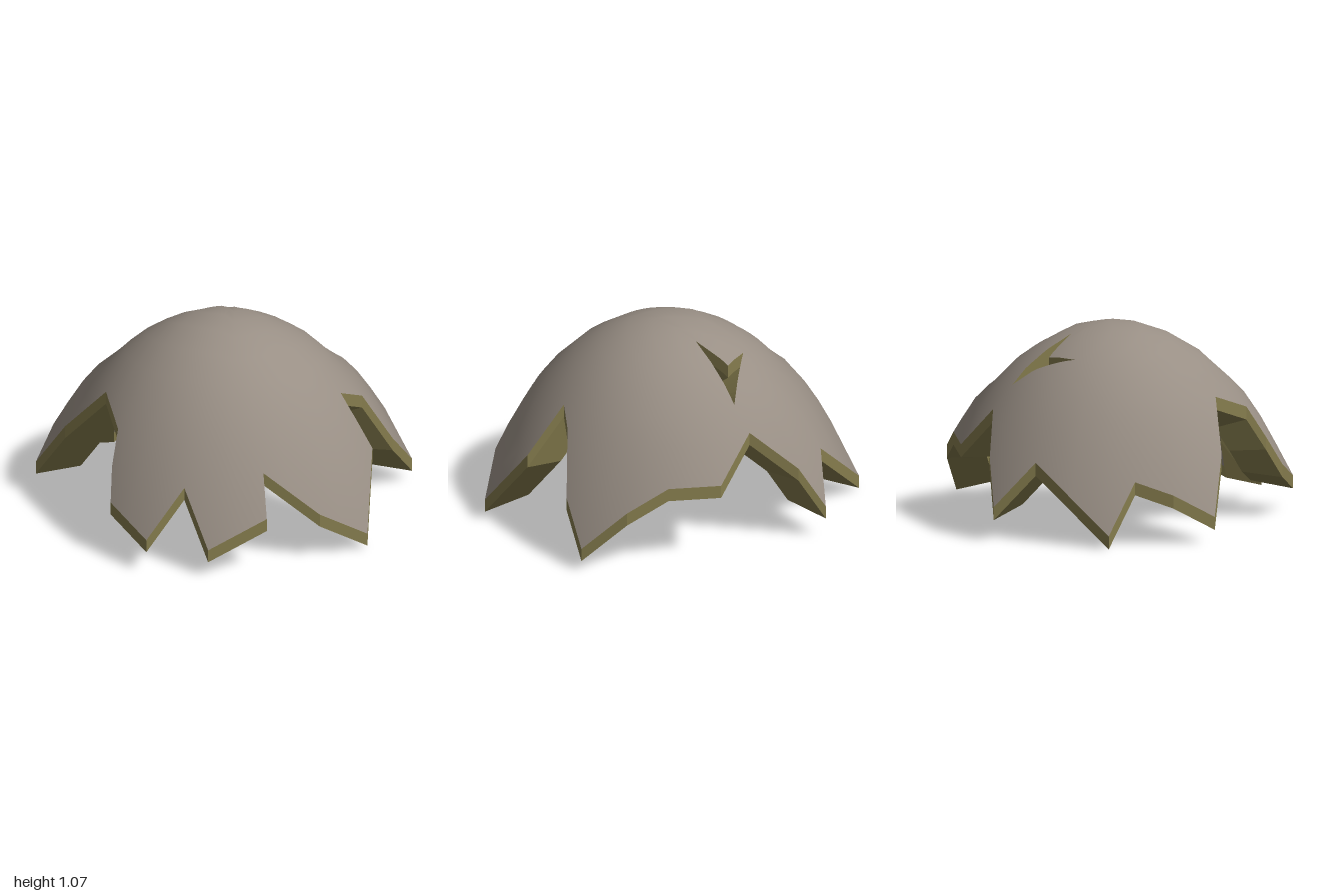
import * as THREE from 'three';

// Broken rim, walked anticlockwise from the front: x, y, z
const RIM = [
  [-0.06, 0.15, 0.97], [0.25, 0.285, 0.86], [0.23, 0.505, 0.755], [0.53, 0.26, 0.745],
  [0.78, 0.085, 0.605], [0.8, 0.44, 0.29], [0.63, 0.71, 0.18], [0.74, 0.64, 0.06],
  [0.9, 0.33, -0.07], [1.0, 0.12, -0.26], [0.85, 0.33, -0.45], [0.65, 0.44, -0.57],
  [0.4, 0.42, -0.725], [0.15, 0.64, -0.71], [-0.04, 0.42, -0.89], [-0.17, 0.18, -0.97],
  [-0.32, 0.42, -0.805], [-0.78, 0.07, -0.68], [-0.77, 0.34, -0.49], [-0.91, 0.27, -0.34],
  [-1.0, 0.145, -0.13], [-0.84, 0.44, 0.05], [-0.62, 0.71, 0.19], [-0.55, 0.62, 0.46],
  [-0.58, 0.45, 0.57], [-0.585, 0.29, 0.68], [-0.39, 0.18, 0.915], [-0.19, 0.44, 0.81],
];
// Small chip through the roof: x, z, anticlockwise seen from above
const CHIP = [[0.055, -0.25], [0.135, -0.59], [-0.16, -0.4], [0.01, -0.44]];
const CHIP_MID = [0.04, -0.46];
// Dome profile: radius, height
const PROFILE = [[0, 1.075], [0.22, 1.03], [0.4, 0.935], [0.52, 0.85], [0.65, 0.715],
  [0.742, 0.62], [0.85, 0.44], [0.9, 0.34], [1.04, 0.07]];
const RING = 0.63, SKIRT = 0.07, INNER = 0.76, CHIP_INNER = 0.64, BASE = 0.12, INNER_BAND = 0.055;

function domeHeight(r) {
  let i = 1;
  while (i < PROFILE.length - 1 && PROFILE[i][0] < r) i++;
  const [r0, y0] = PROFILE[i - 1], [r1, y1] = PROFILE[i];
  return y0 + (y1 - y0) * (r - r0) / (r1 - r0);
}

const lerp = (a, b, t) => a + (b - a) * t;

// Point of the chip outline in the direction (dx, dz) from its middle
function chipPoint(dx, dz) {
  for (let i = 0; i < CHIP.length; i++) {
    const a = CHIP[i], b = CHIP[(i + 1) % CHIP.length];
    const ax = a[0] - CHIP_MID[0], az = a[1] - CHIP_MID[1];
    const ex = b[0] - a[0], ez = b[1] - a[1];
    const det = dx * ez - dz * ex;
    if (Math.abs(det) < 1e-9) continue;
    const t = (ax * ez - az * ex) / det, u = (ax * dz - az * dx) / det;
    if (t > 0 && u >= 0 && u <= 1) return [CHIP_MID[0] + dx * t, CHIP_MID[1] + dz * t];
  }
  return [...CHIP_MID];
}

// Closed loft through rows of points, wound outward or (flip) inward
function loft(rows, flip) {
  const n = rows[0].length, index = [];
  for (let r = 0; r < rows.length - 1; r++) {
    for (let i = 0; i < n; i++) {
      const j = (i + 1) % n;
      const a = r * n + i, b = (r + 1) * n + i, c = (r + 1) * n + j, d = r * n + j;
      index.push(...(flip ? [a, c, b, a, d, c] : [a, b, c, a, c, d]));
    }
  }
  const geo = new THREE.BufferGeometry();
  geo.setAttribute('position', new THREE.Float32BufferAttribute(rows.flat(2), 3));
  geo.setIndex(index);
  return geo;
}

// Smooth dome: normals follow a rounded profile whose slope grows with the radius
function smoothShell(rows, flip, scale) {
  const geo = loft(rows, flip), side = flip ? -1 : 1;
  const normals = rows.flat().flatMap(([x, , z]) => {
    const px = x / scale, pz = z / scale;
    const k = 1.6 + 0.9 * (px * px + pz * pz);
    return new THREE.Vector3(px * k, 1, pz * k).normalize().multiplyScalar(side).toArray();
  });
  geo.setAttribute('normal', new THREE.Float32BufferAttribute(normals, 3));
  return geo;
}

// Flat-faced broken edge
function facetedEdge(rows) {
  const geo = loft(rows, false).toNonIndexed();
  geo.computeVertexNormals();
  return geo;
}

export function createModel() {
  const shellGrey = new THREE.MeshStandardMaterial({ color: 0x998f85, side: THREE.DoubleSide });
  const brokenEdge = new THREE.MeshStandardMaterial({ color: 0x867d4e, side: THREE.DoubleSide });

  // Rim with a midpoint on every edge
  const outline = RIM.flatMap((p, i) => {
    const q = RIM[(i + 1) % RIM.length];
    return [p, p.map((v, k) => lerp(v, q[k], 0.5))];
  });

  // Ring around the dome, and the chip outline matched to it
  const ring = outline.map(([x, , z]) => {
    const s = RING / Math.hypot(x, z);
    return [x * s, z * s];
  });
  const chip = ring.map(([x, z]) => chipPoint(x - CHIP_MID[0], z - CHIP_MID[1]));
  for (const corner of CHIP) {
    // Keep the chip corners sharp
    const angle = ([x, z]) => Math.atan2(x - CHIP_MID[0], z - CHIP_MID[1]);
    let best = 0, bestGap = 9;
    ring.forEach((p, i) => {
      const gap = Math.abs(Math.sin((angle(p) - angle(corner)) / 2));
      if (gap < bestGap) { bestGap = gap; best = i; }
    });
    chip[best] = [...corner];
  }

  // Outer shell rows: chip to ring, then ring to broken rim
  const rows = [];
  for (let k = 0; k <= 6; k++) {
    rows.push(ring.map((p, i) => {
      const x = lerp(chip[i][0], p[0], k / 6), z = lerp(chip[i][1], p[1], k / 6);
      return [x, domeHeight(Math.hypot(x, z)), z];
    }));
  }
  for (let k = 1; k <= 4; k++) {
    const t = k / 4;
    rows.push(outline.map(([ox, oy, oz], i) => {
      const x = lerp(ring[i][0], ox, t), z = lerp(ring[i][1], oz, t);
      const fix = oy - domeHeight(Math.hypot(ox, oz));
      return [x, domeHeight(Math.hypot(x, z)) + fix * t, z];
    }));
  }

  // The inner shell is a smaller dome; the chip narrows a little more on its way in
  const inward = (row, scale, lift) =>
    row.map(([x, y, z]) => [x * scale, BASE + (y - BASE) * INNER + lift, z * scale]);
  const lowered = (row) => row.map(([x, y, z]) => [x, y - SKIRT, z]);
  const innerRows = rows.map((row, k) =>
    inward(row, lerp(CHIP_INNER, INNER, Math.min(k / 6, 1)), INNER_BAND));
  const first = rows[0], last = rows[rows.length - 1];

  const model = new THREE.Group();
  model.name = 'brokenShell';
  const add = (name, geometry, material) => {
    const mesh = new THREE.Mesh(geometry, material);
    mesh.name = name;
    model.add(mesh);
  };
  add('outerShell', smoothShell(rows, false, 1), shellGrey);
  add('innerShell', smoothShell(innerRows, true, INNER), shellGrey);
  // Thick broken edges: outer upright band, face running inward, inner upright band
  add('brokenRim', facetedEdge(
    [last, lowered(last), inward(last, INNER, 0), innerRows[innerRows.length - 1]]), brokenEdge);
  add('chipEdge', facetedEdge(
    [innerRows[0], inward(first, CHIP_INNER, 0), lowered(first), first]), brokenEdge);
  return model;
}
